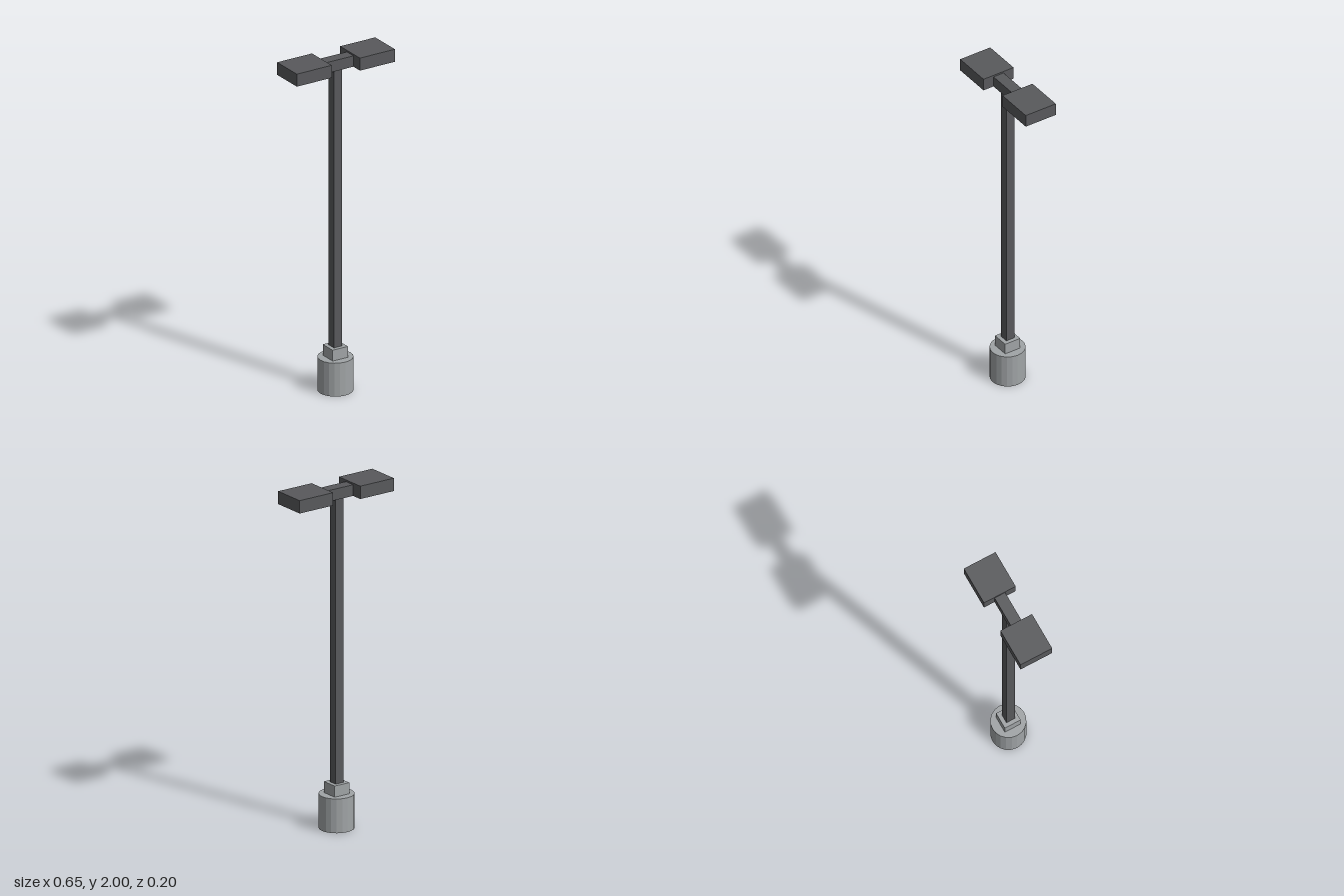
import * as THREE from 'three';

const concrete = new THREE.MeshStandardMaterial({ color: 0xa0a4a6, flatShading: true });
const metal = new THREE.MeshStandardMaterial({ color: 0x58595c, flatShading: true });

const AXIS = -0.004; // the post stands a hair off centre

function add(parent, name, geometry, material, x, y, z = 0) {
  const mesh = new THREE.Mesh(geometry, material);
  mesh.name = name;
  mesh.position.set(x, y, z);
  parent.add(mesh);
  return mesh;
}

function rectangle(Type, w, d) {
  return new Type([
    new THREE.Vector2(-w / 2, -d / 2), new THREE.Vector2(w / 2, -d / 2),
    new THREE.Vector2(w / 2, d / 2), new THREE.Vector2(-w / 2, d / 2),
  ]);
}

// Lamp head: solid housing above a thin rim that frames the recessed panel
function lampHead(name, x) {
  const w = 0.23, d = 0.2, h = 0.075, rim = 0.012, recess = 0.01;
  const lamp = new THREE.Group();
  lamp.name = name;
  lamp.position.set(x, 1.925, 0);
  add(lamp, 'lampHousing', new THREE.BoxGeometry(w, h - recess, d), metal, 0, (h + recess) / 2);
  const frame = rectangle(THREE.Shape, w, d);
  frame.holes.push(rectangle(THREE.Path, w - 2 * rim, d - 2 * rim));
  const rimGeometry = new THREE.ExtrudeGeometry(frame, { depth: recess, bevelEnabled: false });
  rimGeometry.rotateX(-Math.PI / 2);
  add(lamp, 'lampRim', rimGeometry, metal, 0, 0);
  return lamp;
}

export function createModel() {
  const model = new THREE.Group();
  model.name = 'lampPost';

  // Footing and post
  add(model, 'footing', new THREE.CylinderGeometry(0.1, 0.1, 0.2, 20), concrete, AXIS, 0.1);
  add(model, 'plinth', new THREE.BoxGeometry(0.1, 0.065, 0.1), concrete, AXIS, 0.2325);
  add(model, 'pole', new THREE.BoxGeometry(0.053, 1.66, 0.053), metal, AXIS, 1.095);

  // Cross arm with a lamp head at each end
  add(model, 'crossArm', new THREE.BoxGeometry(0.188, 0.065, 0.067), metal, 0, 1.9575);
  model.add(lampHead('leftLamp', 0.208), lampHead('rightLamp', -0.208));

  return model;
}
